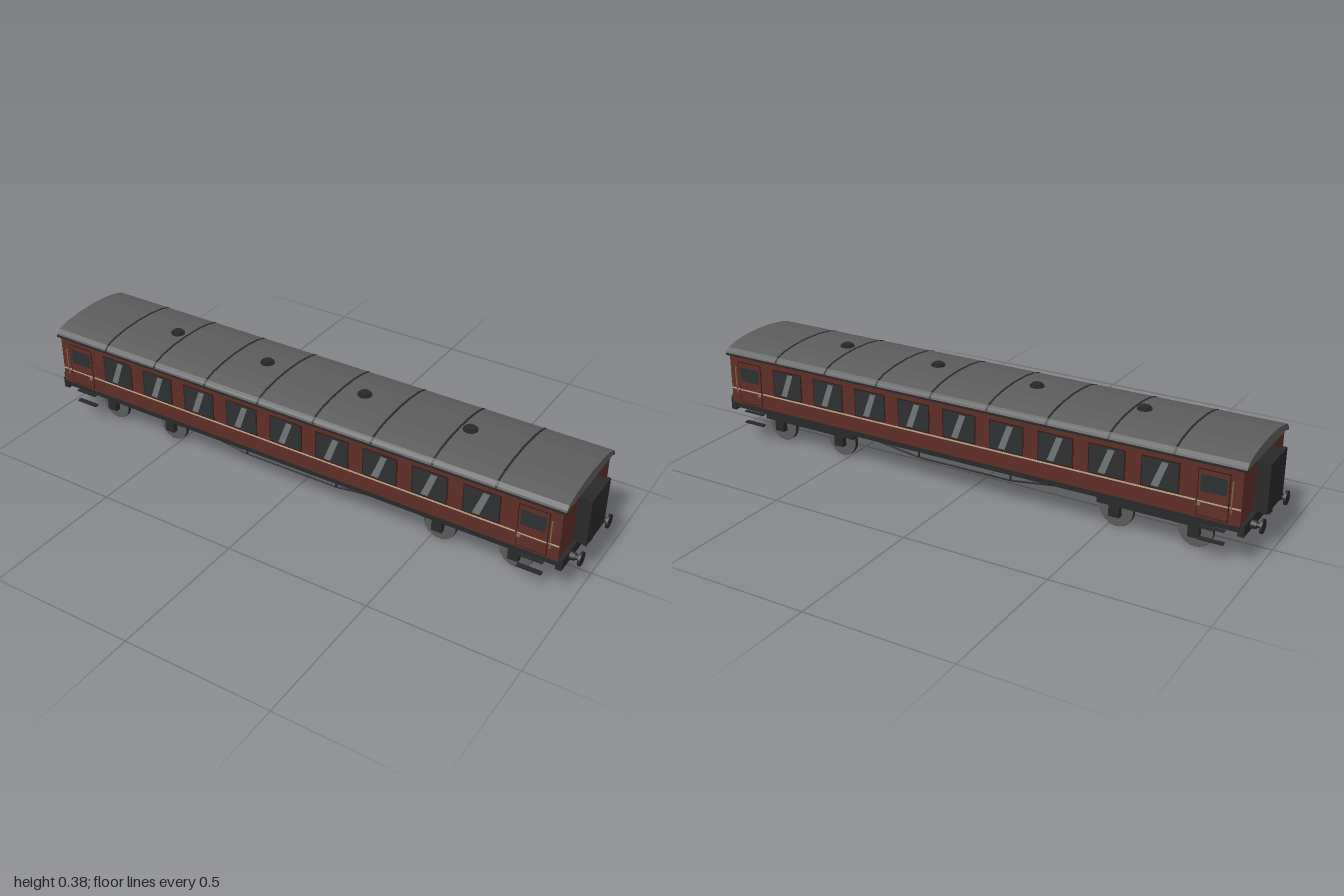
import * as THREE from 'three';

const mat = (name, color) => {
  const m = new THREE.MeshStandardMaterial({ color });
  m.name = name;
  return m;
};

export function createModel() {
  const red = mat('maroon paint', 0x5e2f26);
  const doorRed = mat('door seam maroon', 0x351a15);
  const roofGrey = mat('roof grey', 0x5c5c5c);
  const dark = mat('underframe black', 0x292929);
  const glass = mat('window glass', 0x2d3031);
  const shine = mat('window reflection', 0x717576);
  const cream = mat('cream lining', 0xb5a88a);
  const brass = mat('brass', 0x7d6c3e);
  const steel = mat('wheel steel', 0x5a5a5a);

  const root = new THREE.Group();
  root.name = 'railwayCarriage';

  const add = (parent, name, geo, material, x = 0, y = 0, z = 0) => {
    const m = new THREE.Mesh(geo, material);
    m.name = name;
    m.position.set(x, y, z);
    parent.add(m);
    return m;
  };
  // box given by its centre x, z and its bottom and top heights
  const box = (parent, name, material, x, y0, y1, z, w, d) =>
    add(parent, name, new THREE.BoxGeometry(w, y1 - y0, d), material, x, (y0 + y1) / 2, z);
  const cyl = (parent, name, material, r, len, axis, x, y, z, sides = 16, r2 = r) => {
    const g = new THREE.CylinderGeometry(r2, r, len, sides);
    if (axis === 'x') g.rotateZ(-Math.PI / 2);
    if (axis === 'z') g.rotateX(Math.PI / 2);
    return add(parent, name, g, material, x, y, z);
  };
  const rod = (parent, name, material, a, b, r) => {
    const path = new THREE.LineCurve3(new THREE.Vector3(...a), new THREE.Vector3(...b));
    return add(parent, name, new THREE.TubeGeometry(path, 1, r, 6), material);
  };

  // body shell and underframe
  box(root, 'body', red, 0, 0.14, 0.326, 0, 1.9, 0.35);
  box(root, 'underframe', dark, 0, 0.122, 0.14, 0, 1.9, 0.342);
  box(root, 'batteryBox', dark, 0, 0.086, 0.122, 0, 0.25, 0.154);

  // arched roof with ribs
  const half = [[0.182, 0.326], [0.179, 0.333], [0.166, 0.344], [0.128, 0.355], [0.07, 0.363], [0, 0.366]];
  const roofShape = (grow) => {
    const right = half.map(([z, y]) => new THREE.Vector2(z, y + grow));
    const left = half.slice(0, -1).reverse().map(([z, y]) => new THREE.Vector2(-z, y + grow));
    return new THREE.Shape([...right, ...left]);
  };
  const arch = (name, material, x, length, grow) => {
    const g = new THREE.ExtrudeGeometry(roofShape(grow), { depth: length, bevelEnabled: false });
    g.translate(0, 0, -length / 2);
    g.rotateY(Math.PI / 2);
    add(root, name, g, material, x);
  };
  arch('roof', roofGrey, 0, 1.92, 0);
  for (let i = 0; i < 8; i++) arch('roofRib', dark, (i - 3.5) * 0.211, 0.007, 0.0012);
  for (const s of [-1, 1]) box(root, 'gutter', dark, 0, 0.32, 0.327, s * 0.179, 1.92, 0.01);
  for (let i = 0; i < 4; i++) {
    const x = (i - 1.5) * 0.375;
    cyl(root, 'ventBase', dark, 0.018, 0.012, 'y', x, 0.364, 0, 12);
    cyl(root, 'ventRim', dark, 0.024, 0.005, 'y', x, 0.37, 0, 12);
    cyl(root, 'ventCap', dark, 0.018, 0.007, 'y', x, 0.3745, 0, 12);
  }

  // one long side, facing +z; the other is the same turned half round
  const buildSide = () => {
    const side = new THREE.Group();
    side.name = 'carriageSide';
    const z = 0.175;
    const slash = new THREE.Shape([
      new THREE.Vector2(-0.028, -0.042), new THREE.Vector2(-0.004, -0.042),
      new THREE.Vector2(0.026, 0.042), new THREE.Vector2(0.004, 0.042)]);
    for (let i = 0; i < 9; i++) {
      const x = (i - 4) * 0.174;
      box(side, 'windowFrame', doorRed, x, 0.201, 0.301, z, 0.124, 0.002);
      box(side, 'window', glass, x, 0.205, 0.297, z, 0.116, 0.004);
      add(side, 'windowReflection', new THREE.ShapeGeometry(slash), shine, x, 0.251, z + 0.0028);
    }
    box(side, 'liningStripe', cream, 0, 0.194, 0.199, z, 1.62, 0.003);
    for (const s of [-1, 1]) {
      const x = s * 0.863;
      box(side, 'liningStripe', cream, s * 0.932, 0.194, 0.199, z, 0.034, 0.003);
      box(side, 'doorSeam', doorRed, x, 0.148, 0.301, z, 0.1, 0.002);
      box(side, 'door', red, x, 0.151, 0.298, z, 0.094, 0.004);
      box(side, 'doorStripe', cream, x, 0.194, 0.199, z, 0.094, 0.005);
      box(side, 'doorWindow', glass, x, 0.23, 0.283, z, 0.08, 0.006);
      box(side, 'doorHandle', brass, s * 0.822, 0.184, 0.192, 0.179, 0.012, 0.006);
      cyl(side, 'handrail', brass, 0.0022, 0.098, 'y', s * 0.922, 0.232, 0.182, 6);
      for (const y of [0.188, 0.277]) cyl(side, 'railBracket', brass, 0.002, 0.009, 'z', s * 0.922, y, 0.178, 6);
      box(side, 'upperStep', dark, x, 0.11, 0.114, 0.165, 0.08, 0.015);
      box(side, 'lowerStep', dark, x, 0.068, 0.074, 0.166, 0.08, 0.015);
      // truss rods under the floor
      rod(side, 'trussRod', dark, [s * 0.49, 0.133, 0.147], [s * 0.175, 0.091, 0.147], 0.003);
      cyl(side, 'trussPost', dark, 0.0035, 0.034, 'y', s * 0.175, 0.106, 0.147, 6);
    }
    box(side, 'sillTrim', dark, 0, 0.136, 0.142, 0.172, 1.9, 0.009);
    rod(side, 'trussRod', dark, [-0.175, 0.091, 0.147], [0.175, 0.091, 0.147], 0.003);
    return side;
  };
  const front = buildSide();
  const back = buildSide();
  back.rotation.y = Math.PI;
  root.add(front, back);

  // carriage ends: gangway, buffer beam, buffers and coupling
  for (const s of [-1, 1]) {
    const end = new THREE.Group();
    end.name = 'carriageEnd';
    box(end, 'bufferBeam', dark, 0.953, 0.11, 0.148, 0, 0.02, 0.344);
    box(end, 'gangway', dark, 0.97, 0.148, 0.31, 0, 0.046, 0.13);
    box(end, 'gangwayPlate', dark, 0.988, 0.148, 0.311, 0, 0.012, 0.142);
    box(end, 'coupling', dark, 0.97, 0.121, 0.136, 0, 0.03, 0.024);
    for (const t of [-1, 1]) {
      cyl(end, 'bufferHousing', dark, 0.015, 0.02, 'x', 0.97, 0.128, t * 0.108, 12, 0.012);
      cyl(end, 'bufferShaft', dark, 0.008, 0.03, 'x', 0.98, 0.128, t * 0.108, 12);
      cyl(end, 'bufferHead', dark, 0.023, 0.007, 'x', 0.9965, 0.128, t * 0.108, 20);
    }
    end.rotation.y = s > 0 ? 0 : Math.PI;
    root.add(end);
  }

  // two four-wheeled bogies
  for (const s of [-1, 1]) {
    const bogie = new THREE.Group();
    bogie.name = 'bogie';
    bogie.position.x = s * 0.659;
    box(bogie, 'bolster', dark, 0, 0.085, 0.123, 0, 0.06, 0.214);
    for (const t of [-1, 1]) {
      box(bogie, 'sideFrame', dark, 0, 0.077, 0.099, t * 0.113, 0.384, 0.012);
      box(bogie, 'bolsterSpring', dark, 0, 0.099, 0.112, t * 0.113, 0.13, 0.016);
      box(bogie, 'springHanger', dark, 0, 0.112, 0.123, t * 0.113, 0.05, 0.016);
    }
    for (const wx of [-0.131, 0.131]) {
      cyl(bogie, 'axle', dark, 0.006, 0.22, 'z', wx, 0.058, 0, 10);
      for (const t of [-1, 1]) {
        cyl(bogie, 'wheelTread', dark, 0.0565, 0.013, 'z', wx, 0.0565, t * 0.091, 28);
        cyl(bogie, 'wheelDisc', steel, 0.0555, 0.0145, 'z', wx, 0.0565, t * 0.091, 28);
        box(bogie, 'axleBox', dark, wx, 0.041, 0.078, t * 0.112, 0.036, 0.02);
      }
    }
    root.add(bogie);
  }
  return root;
}
